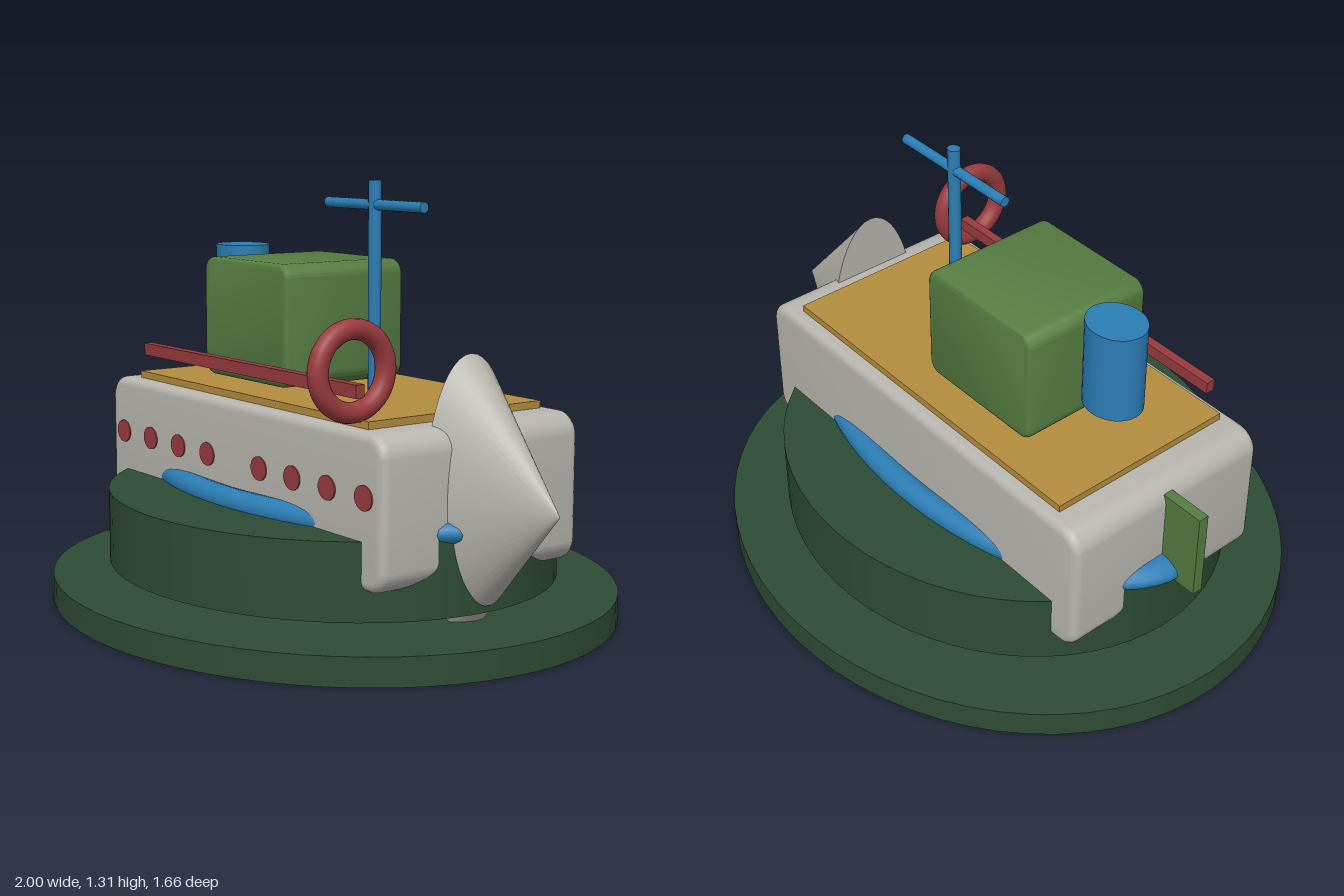
import * as THREE from 'three';
import { toCreasedNormals } from 'three/addons/utils/BufferGeometryUtils.js';

const paint = (name, color) => {
  const m = new THREE.MeshStandardMaterial({ color });
  m.name = name;
  return m;
};

// Box from min to max with a rounded side outline and a small bevel front and back
function softBox([x0, y0, z0], [x1, y1, z1], radius, bevel) {
  const a = x0 + bevel, b = x1 - bevel, c = y0 + bevel, d = y1 - bevel;
  const r = radius - bevel;
  const s = new THREE.Shape();
  s.moveTo(a + r, c);
  s.lineTo(b - r, c);
  s.absarc(b - r, c + r, r, -Math.PI / 2, 0);
  s.lineTo(b, d - r);
  s.absarc(b - r, d - r, r, 0, Math.PI / 2);
  s.lineTo(a + r, d);
  s.absarc(a + r, d - r, r, Math.PI / 2, Math.PI);
  s.lineTo(a, c + r);
  s.absarc(a + r, c + r, r, Math.PI, Math.PI * 1.5);
  const g = new THREE.ExtrudeGeometry(s, {
    depth: z1 - z0 - 2 * bevel, bevelEnabled: true, bevelSize: bevel,
    bevelThickness: bevel, bevelSegments: 4, curveSegments: 8,
  });
  g.translate(0, 0, z0 + bevel);
  return toCreasedNormals(g, 0.6);
}

export function createModel() {
  const model = new THREE.Group();
  model.name = 'boat';

  const darkGreen = paint('dark green', 0x2d4c35);
  const grey = paint('warm grey', 0xb8b6af);
  const gold = paint('deck gold', 0xb48c3e);
  const green = paint('leaf green', 0x567d42);
  const blue = paint('blue', 0x2b7db5);
  const red = paint('red', 0x9a3b3e);

  const add = (name, geometry, material, x = 0, y = 0, z = 0) => {
    const mesh = new THREE.Mesh(geometry, material);
    mesh.name = name;
    mesh.position.set(x, y, z);
    model.add(mesh);
    return mesh;
  };
  const box = (name, [x0, y0, z0], [x1, y1, z1], material) =>
    add(name, new THREE.BoxGeometry(x1 - x0, y1 - y0, z1 - z0), material,
      (x0 + x1) / 2, (y0 + y1) / 2, (z0 + z1) / 2);
  // Upright elliptical cylinder between two heights
  const drum = (name, x, rx, rz, y0, y1, material, sides = 64) =>
    add(name, new THREE.CylinderGeometry(1, 1, y1 - y0, sides).scale(rx, 1, rz),
      material, x, (y0 + y1) / 2, 0);

  // Stand: two oval discs
  drum('baseDisc', -0.04, 0.96, 0.83, 0, 0.085, darkGreen);
  drum('upperDisc', -0.04, 0.76, 0.66, 0.122, 0.35, darkGreen);

  // Oval ring around the hull
  const ring = new THREE.TorusGeometry(0.38, 0.04, 16, 64);
  ring.rotateX(Math.PI / 2).scale(1.917, 1, 1);
  add('hullRing', ring, blue, -0.04, 0.36, 0);

  // Hull, deck and cabin
  add('hull', softBox([-0.775, 0.21, -0.357], [0.695, 0.652, 0.357], 0.07, 0.025), grey);
  box('deck', [-0.655, 0.64, -0.315], [0.575, 0.674, 0.315], gold);
  add('cabin', softBox([-0.415, 0.688, -0.22], [0.047, 1.06, 0.22], 0.045, 0.018), green);

  // Bow cone, squeezed sideways
  const bow = new THREE.ConeGeometry(1, 0.37, 48);
  bow.rotateZ(-Math.PI / 2).scale(1, 0.4, 0.163);
  add('bowCone', bow, grey, 0.815, 0.443, 0);

  // Rudder
  box('rudder', [-0.907, 0.335, -0.017], [-0.75, 0.62, 0.017], green);

  // Funnel
  drum('funnel', -0.523, 0.096, 0.084, 0.802, 1.084, blue, 32);

  // Mast with crossbar
  drum('mast', 0.188, 0.021, 0.019, 0.655, 1.31, blue, 16);
  const bar = new THREE.CylinderGeometry(0.016, 0.016, 0.464, 16).rotateZ(Math.PI / 2);
  add('crossbar', bar, blue, 0.187, 1.238, 0);

  // Rail and life ring
  box('rail', [-0.612, 0.732, 0.295], [0.53, 0.77, 0.325], red);
  const lifeRing = new THREE.TorusGeometry(0.115, 0.03, 16, 48).rotateY(Math.PI / 2);
  add('lifeRing', lifeRing, red, 0.53, 0.81, 0.338);

  // Portholes in two rows of four along the front side
  const porthole = new THREE.CylinderGeometry(1, 1, 0.008, 24);
  porthole.rotateX(Math.PI / 2).scale(0.04, 0.036, 1);
  for (const start of [-0.695, 0.1]) {
    for (let i = 0; i < 4; i++) {
      add('porthole', porthole, red, start + i * 0.17, 0.474, 0.357);
    }
  }
  return model;
}
